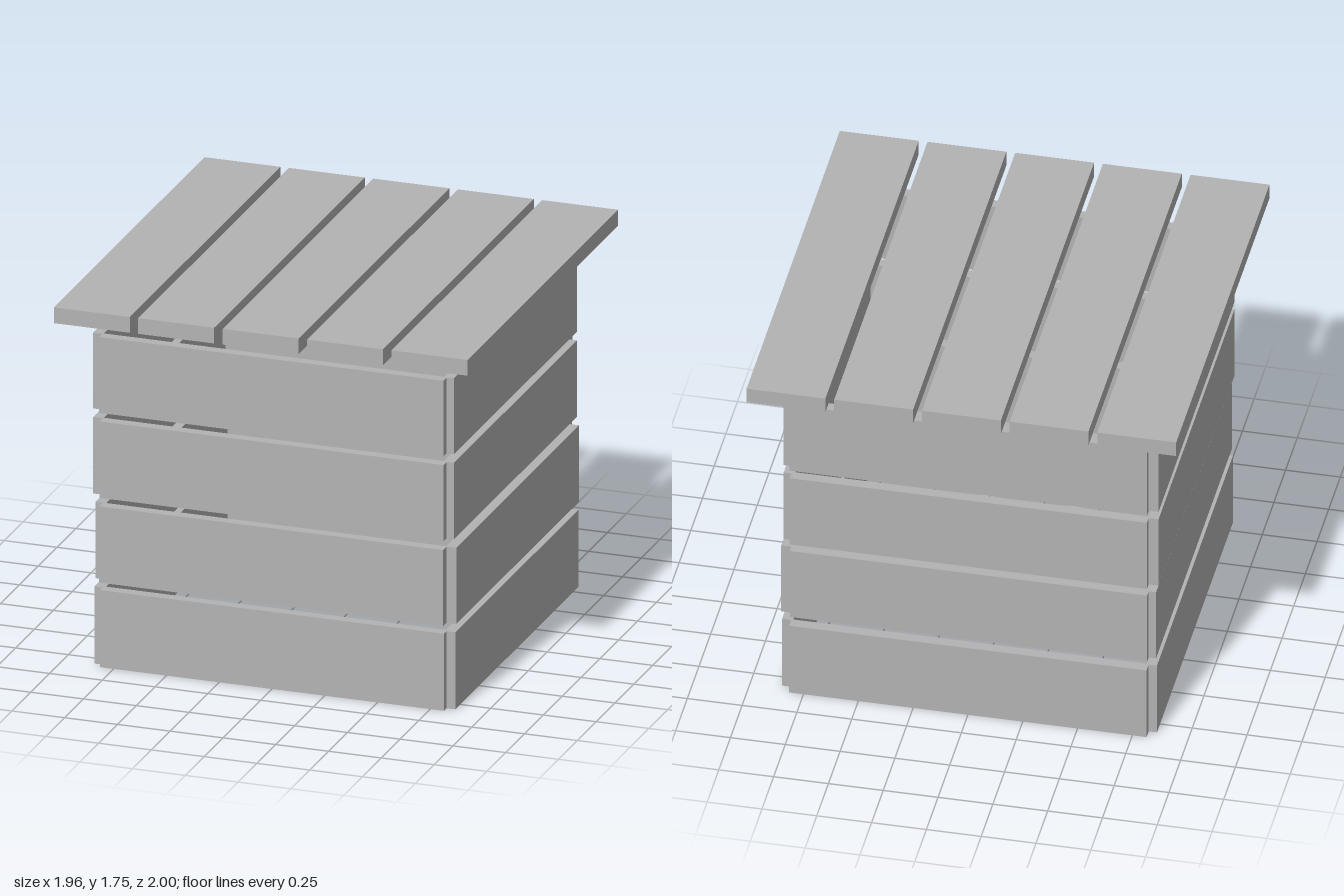
import * as THREE from 'three';

const WALL = 0.05;    // wall board thickness
const LENGTH = 1.63;  // wall board length
const OUTER = 0.855;  // outer face of the walls

// Bottom and top of each course, with the slight shift of its boards
const COURSES = [
  { bottom: 0.0, top: 0.368, dx: 0.002, dz: -0.005 },
  { bottom: 0.408, top: 0.772, dx: 0.006, dz: 0.007 },
  { bottom: 0.811, top: 1.176, dx: -0.005, dz: 0.003 },
  { bottom: 1.217, top: 1.579, dx: -0.005, dz: 0.004 },
];

export function createModel() {
  const model = new THREE.Group();
  model.name = 'slattedCrate';
  const grey = new THREE.MeshStandardMaterial({ color: 0xb3b3b3 });
  grey.name = 'plainGrey';

  const addBoard = (parent, name, size, position) => {
    const board = new THREE.Mesh(new THREE.BoxGeometry(...size), grey);
    board.name = name;
    board.position.set(...position);
    parent.add(board);
  };

  // Four courses of boards; the boards stop short of the corners, leaving a notch
  const walls = new THREE.Group();
  walls.name = 'walls';
  model.add(walls);
  const offset = OUTER - WALL / 2;
  for (const { bottom, top, dx, dz } of COURSES) {
    const h = top - bottom;
    const y = (top + bottom) / 2;
    for (const side of [1, -1]) {
      addBoard(walls, side > 0 ? 'frontBoard' : 'backBoard',
        [LENGTH, h, WALL], [0, y, side * offset + dz]);
      addBoard(walls, side > 0 ? 'leftBoard' : 'rightBoard',
        [WALL, h, LENGTH], [side * offset + dx, y, 0]);
    }
  }

  // Raised lid of five planks running front to back
  const lid = new THREE.Group();
  lid.name = 'lid';
  model.add(lid);
  for (let i = -2; i <= 2; i++) {
    addBoard(lid, 'lidPlank', [0.36, 0.075, 2], [i * 0.4, 1.7125, 0]);
  }
  return model;
}
